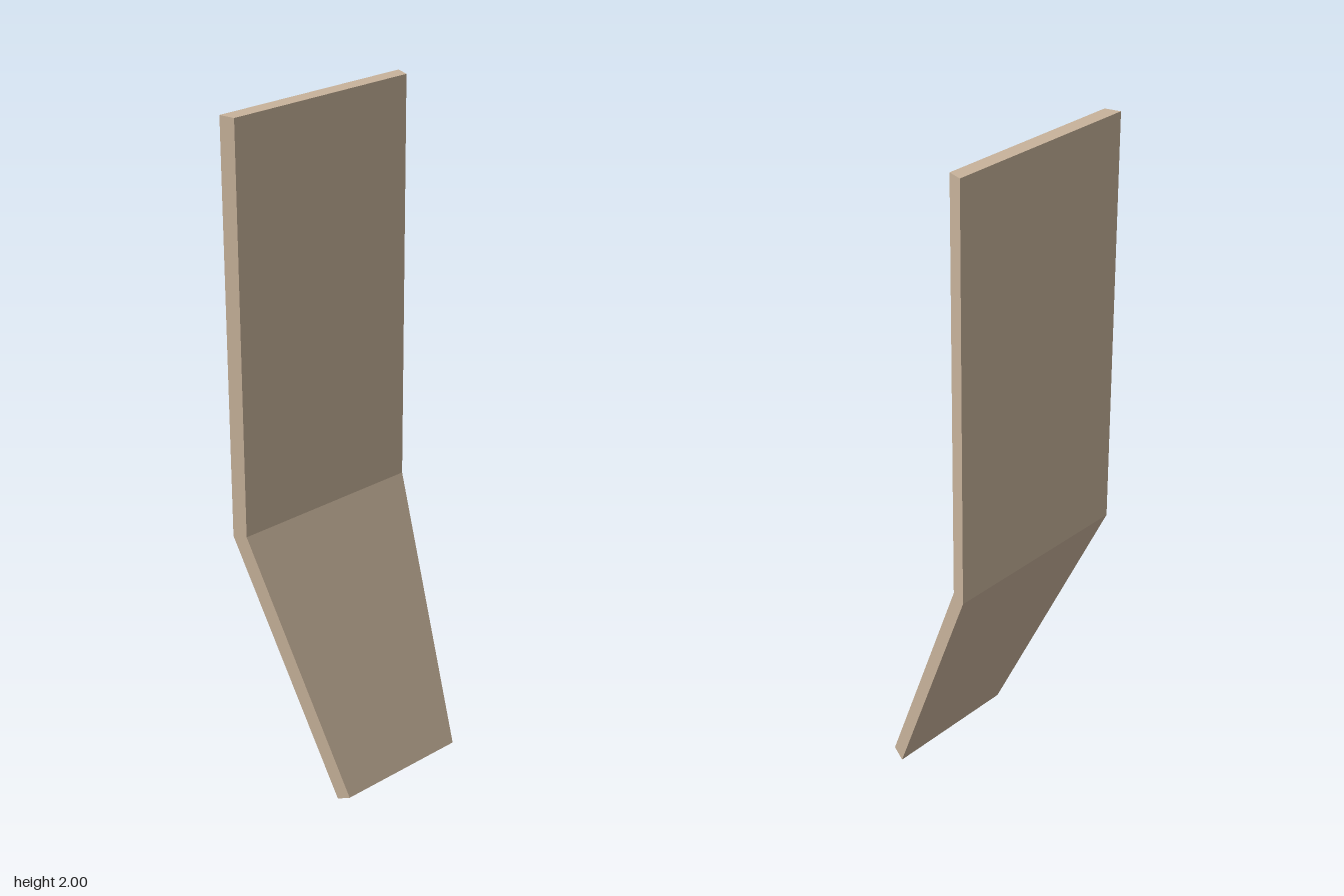
import * as THREE from 'three';

// Side profile of the bent board as [z, y]
const PROFILE = [
  [0.19, 0.02], [0.15, 0], [-0.19, 0.77],
  [-0.19, 2], [-0.145, 2], [-0.145, 0.78],
];

// Half width narrows evenly towards the front, giving bevelled sides
const halfWidth = (z) => 0.258 - 0.268 * z;

export function createModel() {
  const group = new THREE.Group();
  group.name = 'bentBoard';

  // Extrude the profile one unit either side and turn it to run along x
  const shape = new THREE.Shape(PROFILE.map(([z, y]) => new THREE.Vector2(z, y)));
  const geometry = new THREE.ExtrudeGeometry(shape, { depth: 2, bevelEnabled: false });
  geometry.translate(0, 0, -1).rotateY(-Math.PI / 2);

  // Taper the width by depth
  const pos = geometry.attributes.position;
  for (let i = 0; i < pos.count; i++) {
    pos.setX(i, Math.sign(pos.getX(i)) * halfWidth(pos.getZ(i)));
  }
  geometry.computeVertexNormals();

  const material = new THREE.MeshStandardMaterial({ color: 0xc8b39b });
  const board = new THREE.Mesh(geometry, material);
  board.name = 'board';
  group.add(board);
  return group;
}
